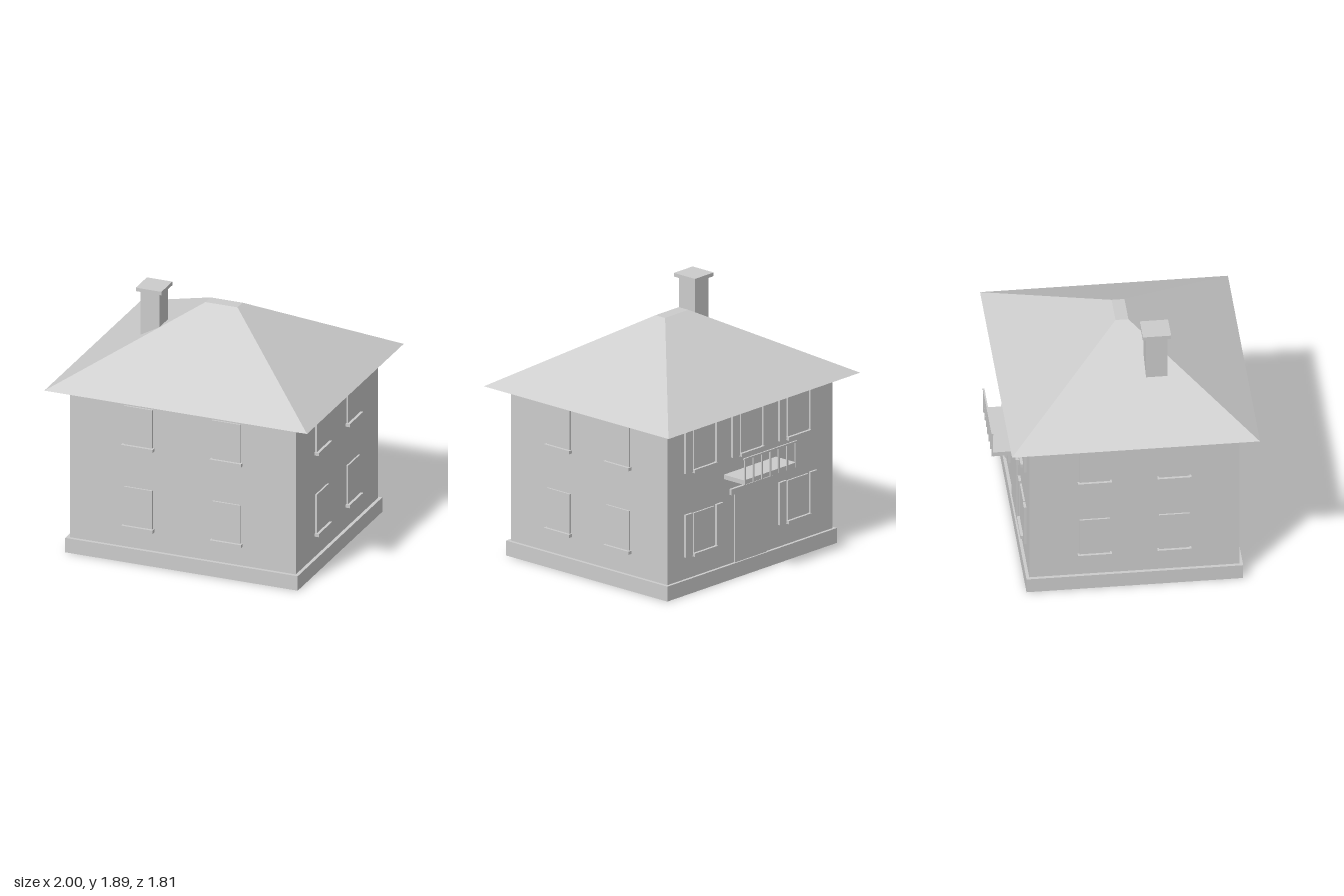
import * as THREE from 'three';

export function createModel() {
  const model = new THREE.Group();
  model.name = 'house';
  const plaster = new THREE.MeshStandardMaterial({ color: 0xcccccc });
  plaster.name = 'plaster grey';

  // box given by its limits on each axis
  function block(name, x0, x1, y0, y1, z0, z1, parent = model) {
    const mesh = new THREE.Mesh(new THREE.BoxGeometry(x1 - x0, y1 - y0, z1 - z0), plaster);
    mesh.position.set((x0 + x1) / 2, (y0 + y1) / 2, (z0 + z1) / 2);
    mesh.name = name;
    parent.add(mesh);
    return mesh;
  }

  // body
  block('plinth', -0.885, 0.885, 0, 0.11, -0.73, 0.8);
  block('walls', -0.86, 0.86, 0.11, 1.235, -0.708, 0.775);
  block('cornice', -0.9, 0.9, 1.23, 1.258, -0.737, 0.815);

  // hipped roof: a box whose top is drawn in to a small flat
  const roofGeo = new THREE.BoxGeometry(2, 0.495, 1.75);
  const p = roofGeo.attributes.position;
  for (let i = 0; i < p.count; i++) {
    if (p.getY(i) > 0) {
      p.setX(i, p.getX(i) * 0.122);
      p.setZ(i, p.getZ(i) * 0.052);
    }
  }
  roofGeo.computeVertexNormals();
  const roof = new THREE.Mesh(roofGeo, plaster);
  roof.name = 'roof';
  roof.position.set(0, 1.5025, 0.03);
  model.add(roof);

  // chimney
  block('chimney', -0.52, -0.375, 1.4, 1.865, 0.155, 0.305);
  block('chimneyCap', -0.545, -0.35, 1.863, 1.89, 0.13, 0.33);

  // window facing local +z, its sill bottom at the local origin
  function addWindow(x, y, z, turn, shutters) {
    const g = new THREE.Group();
    g.name = 'window';
    block('pane', -0.108, 0.108, 0.02, 0.316, -0.01, 0.013, g);
    block('sill', -0.12, 0.12, 0, 0.024, -0.01, 0.033, g);
    if (shutters) {
      for (const s of [-1, 1]) {
        const cx = s * 0.16;
        block('shutter', cx - 0.035, cx + 0.035, 0.008, 0.322, -0.01, 0.018, g);
      }
    }
    g.position.set(x, y, z);
    g.rotation.y = turn;
    model.add(g);
  }
  for (const s of [-1, 1]) {
    for (const y of [0.254, 0.87]) addWindow(s * 0.336, y, 0.775, 0, false);
    for (const y of [0.265, 0.883]) {
      for (const z of [0.315, -0.247]) addWindow(s * 0.86, y, z, s * Math.PI / 2, false);
      addWindow(s * 0.49, y, -0.708, Math.PI, true);
    }
  }
  addWindow(0, 0.883, -0.708, Math.PI, true);

  // entrance at the back
  block('door', -0.165, 0.165, 0.11, 0.625, -0.718, -0.7);
  block('doorLintel', -0.215, 0.215, 0.62, 0.663, -0.73, -0.7);

  // balcony with railing
  block('balconySlab', -0.272, 0.272, 0.75, 0.783, -0.9, -0.7);
  block('balconyRail', -0.276, 0.276, 0.933, 0.945, -0.908, -0.896);
  for (let i = 0; i < 7; i++) {
    const x = -0.264 + i * 0.088;
    block('baluster', x - 0.006, x + 0.006, 0.75, 0.935, -0.907, -0.897);
  }
  return model;
}
